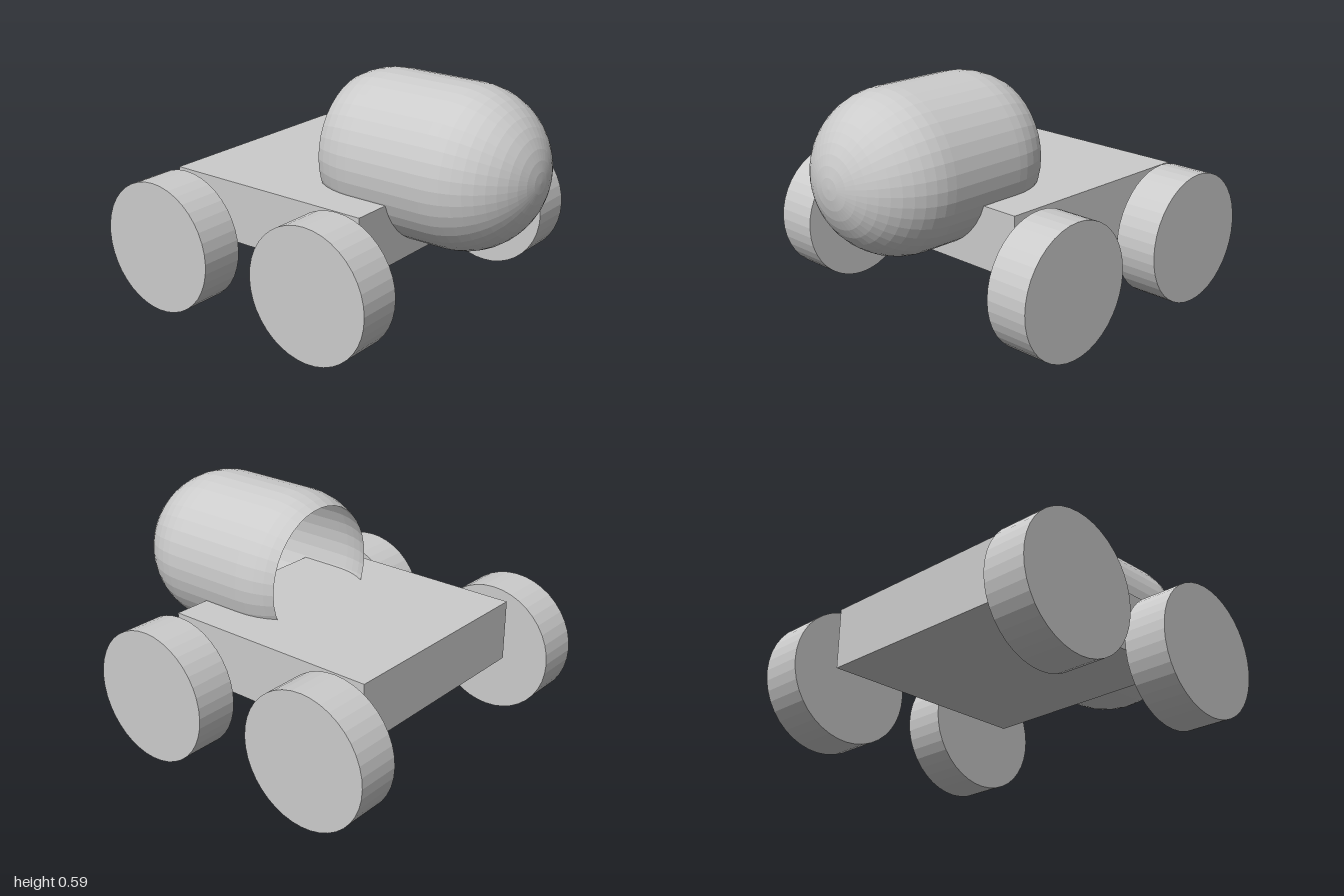
import * as THREE from 'three';

const SIDES = 40;
const CENTRE_X = -0.405;

export function createModel() {
  const group = new THREE.Group();
  const grey = new THREE.MeshStandardMaterial({ color: 0xcccccc, flatShading: true });
  const shell = grey.clone();
  shell.side = THREE.DoubleSide;

  const add = (name, geometry, material, x, y, z) => {
    const mesh = new THREE.Mesh(geometry, material);
    mesh.name = name;
    mesh.position.set(x, y, z);
    group.add(mesh);
    return mesh;
  };

  // Flat chassis slab
  add('chassis', new THREE.BoxGeometry(0.57, 0.155, 0.57), grey, CENTRE_X, 0.557, 0.025);

  // Four disc wheels, the front pair set very slightly towards +x
  const wheel = new THREE.CylinderGeometry(0.166, 0.166, 0.112, SIDES).rotateZ(Math.PI / 2);
  for (const [end, z, shift] of [['front', 0.265, 0.004], ['rear', -0.198, -0.006]]) {
    for (const [side, s] of [['Left', 1], ['Right', -1]]) {
      add(end + side + 'Wheel', wheel, grey, CENTRE_X + shift + s * 0.37, 0.48, z);
    }
  }

  // Hollow cabin: rounded nose, straight middle, tapering to an open back
  const r = 0.2;
  const profile = [];
  for (let i = 0; i <= 4; i++) {
    const a = -Math.PI / 6 + (i / 4) * (Math.PI / 6);
    profile.push(new THREE.Vector2(r * Math.cos(a), 0.2 + r * Math.sin(a)));
  }
  for (let i = 0; i <= 12; i++) {
    const a = (i / 12) * (Math.PI / 2);
    profile.push(new THREE.Vector2(Math.max(0, r * Math.cos(a)), 0.405 + r * Math.sin(a)));
  }
  const cabin = new THREE.LatheGeometry(profile, SIDES).rotateX(Math.PI / 2);
  add('cabin', cabin, shell, CENTRE_X, 0.7, 0);

  return group;
}
